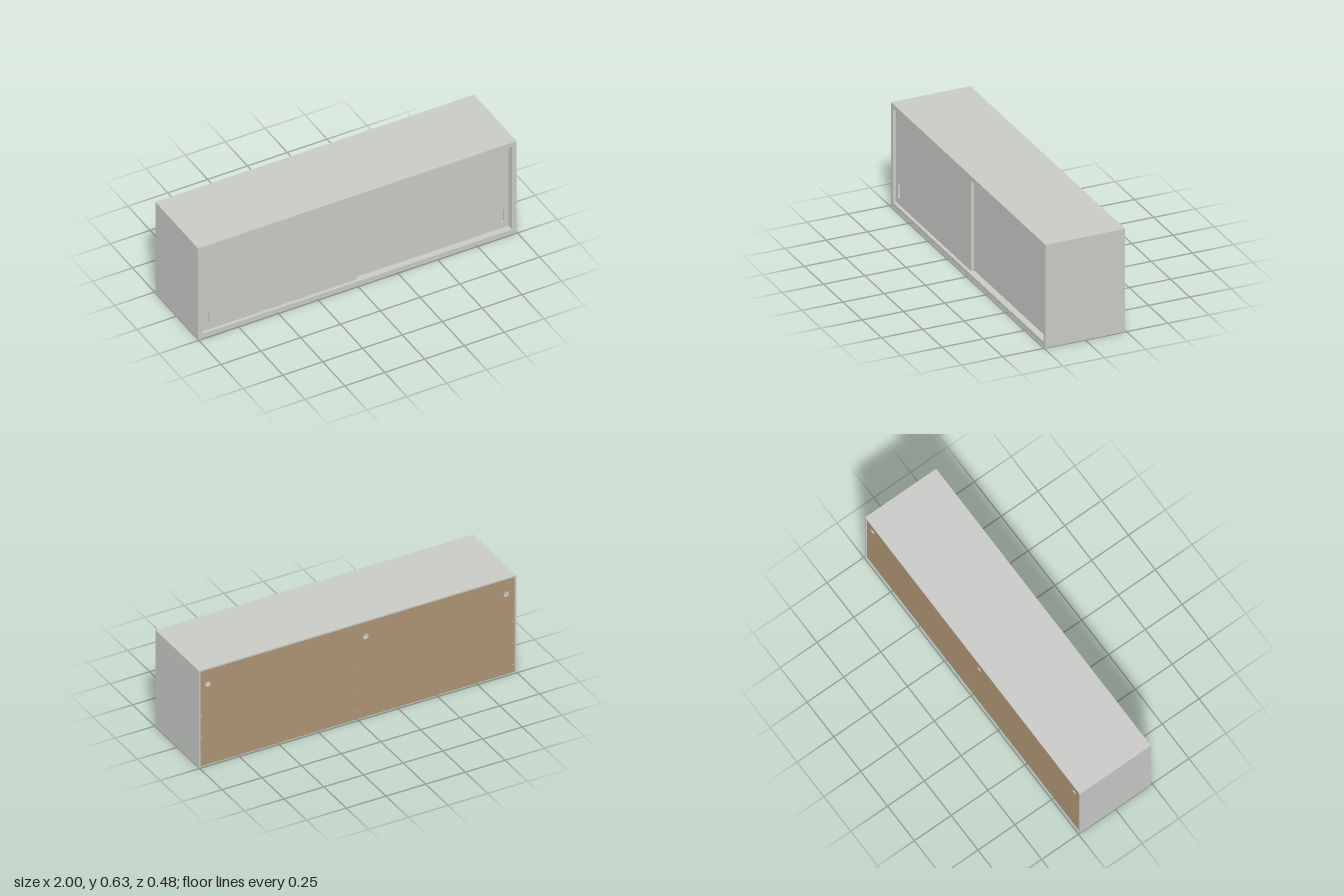
import * as THREE from 'three';

const W = 2, H = 0.627, D = 0.482, T = 0.028;

export function createModel() {
  const grey = new THREE.MeshStandardMaterial({ color: 0xc8cac6 });
  grey.name = 'greyLaminate';
  const brown = new THREE.MeshStandardMaterial({ color: 0xae9474 });
  brown.name = 'brownBoard';
  const model = new THREE.Group();
  model.name = 'slidingDoorCabinet';

  const add = (geometry, material, name, x, y, z) => {
    const mesh = new THREE.Mesh(geometry, material);
    mesh.name = name;
    mesh.position.set(x, y, z);
    model.add(mesh);
    return mesh;
  };
  const box = (name, w, h, d, x, y, z) =>
    add(new THREE.BoxGeometry(w, h, d), grey, name, x, y, z);
  const rect = (x0, y0, x1, y1) => new THREE.Shape([
    new THREE.Vector2(x0, y0), new THREE.Vector2(x1, y0),
    new THREE.Vector2(x1, y1), new THREE.Vector2(x0, y1)]);
  const extrude = (shape, depth) =>
    new THREE.ExtrudeGeometry(shape, { depth, bevelEnabled: false, curveSegments: 16 });

  // Carcass: the rear of each panel has a narrow lip around the back board
  const backZ = -D / 2 + 0.006, boardT = 0.008, lip = 0.009;
  const innerBack = backZ + boardT;
  const bodyD = D / 2 - innerBack, bodyZ = (D / 2 + innerBack) / 2;
  const lipD = innerBack + D / 2, lipZ = (innerBack - D / 2) / 2;
  box('topPanel', W, T, bodyD, 0, H - T / 2, bodyZ);
  box('bottomPanel', W, T, bodyD, 0, T / 2, bodyZ);
  box('topRearLip', W, lip, lipD, 0, H - lip / 2, lipZ);
  for (const s of [-1, 1]) {
    box('sidePanel', T, H - 2 * T, bodyD, s * (W - T) / 2, H / 2, bodyZ);
    box('sideRearLip', lip, H - lip, lipD, s * (W - lip) / 2, (H - lip) / 2, lipZ);
  }
  box('centreDivider', 0.024, H - 2 * T, 0.36, 0, H / 2, innerBack + 0.18);

  // Back board with three cable holes
  const board = rect(-W / 2 + lip, 0, W / 2 - lip, H - lip);
  const holeXs = [-0.94, -0.055, 0.94], holeY = 0.52;
  for (const x of holeXs) {
    board.holes.push(new THREE.Path().absarc(x, holeY, 0.017, 0, Math.PI * 2, true));
  }
  add(extrude(board, boardT), brown, 'backBoard', 0, 0, backZ);

  // Grommet rings lining the cable holes
  for (const x of holeXs) {
    const ring = new THREE.Shape().absarc(0, 0, 0.017, 0, Math.PI * 2, false);
    ring.holes.push(new THREE.Path().absarc(0, 0, 0.011, 0, Math.PI * 2, true));
    add(extrude(ring, boardT + 0.002), grey, 'cableGrommet', x, holeY, backZ - 0.001);
  }

  // Sliding doors, each with a slim recessed finger pull
  const door = (name, x0, x1, pullX, frontZ) => {
    const y0 = T + 0.003, y1 = H - T - 0.003, r = 0.01, low = 0.08, high = 0.147;
    const face = rect(x0, y0, x1, y1);
    const slot = new THREE.Path();
    slot.absarc(pullX, high, r, 0, Math.PI, false);
    slot.absarc(pullX, low, r, Math.PI, Math.PI * 2, false);
    slot.closePath();
    face.holes.push(slot);
    add(extrude(face, 0.01), grey, name + 'Face', 0, 0, frontZ - 0.01);
    box(name + 'Core', x1 - x0, y1 - y0, 0.007,
      (x0 + x1) / 2, (y0 + y1) / 2, frontZ - 0.0135);
  };
  door('rightDoor', -0.969, 0.005, -0.93, D / 2 - 0.016);
  door('leftDoor', -0.03, 0.969, 0.93, D / 2 - 0.036);

  // Fixing caps on the top and the underside
  const cap = new THREE.CylinderGeometry(0.009, 0.009, 0.002, 12);
  for (const x of [-0.915, 0.915]) {
    for (const z of [-0.17, 0.05, 0.155]) {
      add(cap, grey, 'topFixing', x, H, z);
      add(cap, grey, 'bottomFixing', x, 0.0005, z);
    }
  }

  // Small screws holding the back board
  const screw = new THREE.CylinderGeometry(0.004, 0.004, 0.002, 8);
  screw.rotateX(Math.PI / 2);
  for (const x of [-0.98, 0, 0.98]) {
    for (const y of [0.05, 0.19, 0.33]) add(screw, grey, 'backScrew', x, y, backZ);
  }
  return model;
}
